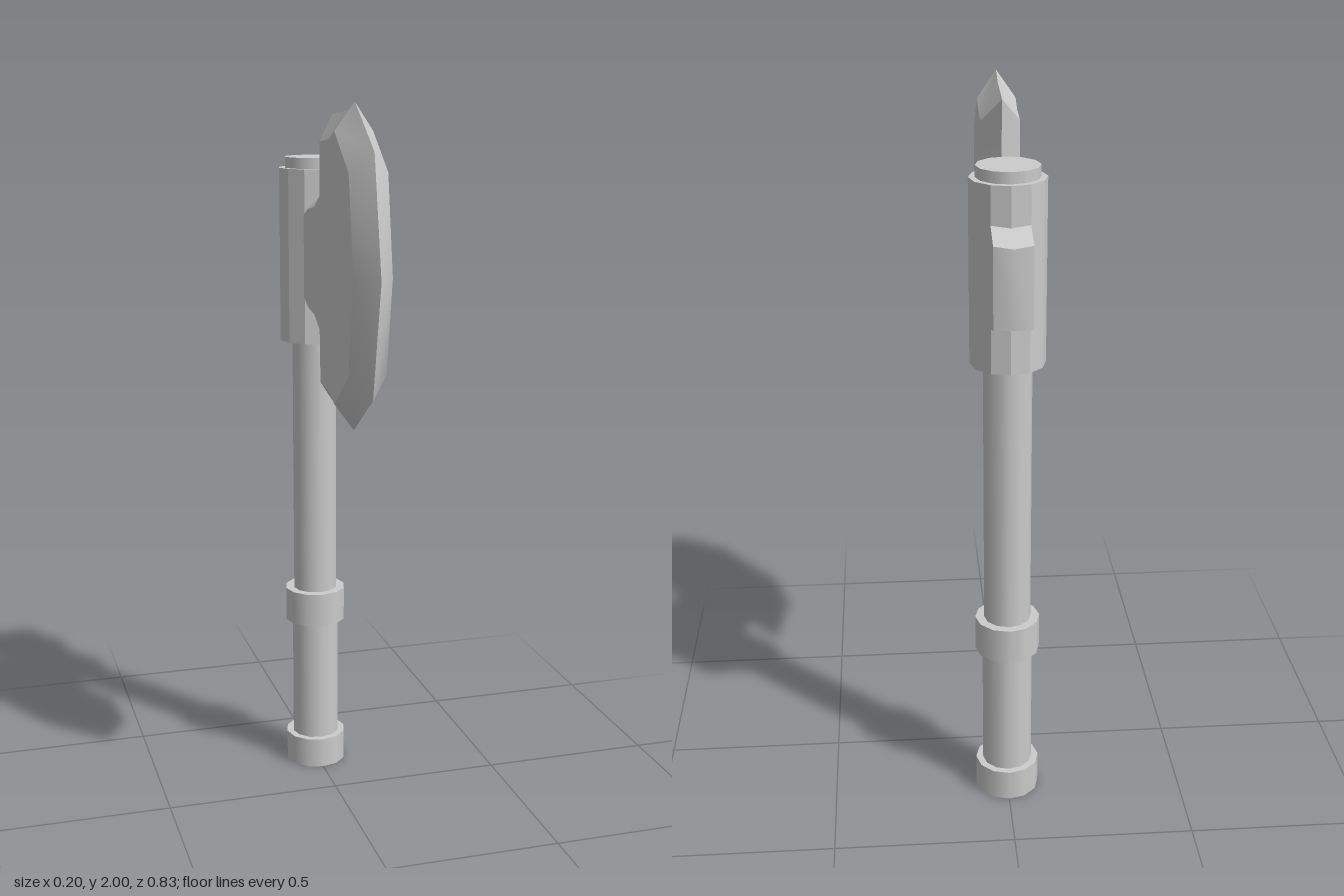
import * as THREE from 'three';
import { toCreasedNormals } from 'three/addons/utils/BufferGeometryUtils.js';

const AXIS_Z = -0.225; // handle axis
const MID_Y = 1.57;    // height of the blade's mirror line
const HALF = 0.052;    // half thickness of the blade

const smooth = new THREE.MeshStandardMaterial({ color: 0xcccccc });
const faceted = new THREE.MeshStandardMaterial({ color: 0xcccccc, flatShading: true });

function addMesh(group, name, geometry, material = smooth) {
  const mesh = new THREE.Mesh(geometry, material);
  mesh.name = name;
  group.add(mesh);
}

function addRod(group, name, radius, y0, y1, material) {
  const geometry = new THREE.CylinderGeometry(radius, radius, y1 - y0, 12);
  geometry.translate(0, (y0 + y1) / 2, AXIS_Z);
  addMesh(group, name, geometry, material);
}

// Closed outline from its upper half, mirrored about MID_Y; first point lies on the mirror line
function mirrored(half) {
  const lower = half.slice(1).reverse().map(([z, y]) => [z, 2 * MID_Y - y]);
  return [...half, ...lower].map(([z, y]) => new THREE.Vector2(z, y));
}

// Flat cheeks on both sides, bevelled out to a sharp rim at x = 0
function bladeGeometry() {
  const rim = mirrored([[0.414, 1.57], [0.35, 1.883], [0.18, 2.0], [0.117, 1.977], [-0.034, 1.962],
    [-0.02, 1.87], [-0.014, 1.78], [-0.055, 1.757], [-0.11, 1.75], [-0.15, 1.70]]);
  const cheek = mirrored([[0.345, 1.57], [0.30, 1.83], [0.17, 1.927], [0.12, 1.905], [0.03, 1.895],
    [0.03, 1.84], [0.025, 1.75], [-0.03, 1.717], [-0.10, 1.705], [-0.15, 1.68]]);
  const n = rim.length;
  const faces = THREE.ShapeUtils.triangulateShape(cheek, []);
  const positions = [];
  for (const side of [-1, 1]) {
    const tri = (...corners) => {
      if (side > 0) corners.reverse();
      for (const [p, x] of corners) positions.push(x, p.y, p.x);
    };
    const x = side * HALF;
    for (const [a, b, c] of faces) tri([cheek[a], x], [cheek[b], x], [cheek[c], x]);
    for (let i = 0; i < n; i++) {
      const j = (i + 1) % n;
      tri([rim[i], 0], [rim[j], 0], [cheek[j], x]);
      tri([rim[i], 0], [cheek[j], x], [cheek[i], x]);
    }
  }
  const geometry = new THREE.BufferGeometry();
  geometry.setAttribute('position', new THREE.Float32BufferAttribute(positions, 3));
  return toCreasedNormals(geometry, 0.6);
}

// Short block with a slightly pointed back, narrowing in height towards its end
function pollGeometry() {
  const plan = new THREE.Shape([[-0.05, 0.29], [0.05, 0.29], [0.05, 0.40], [0, 0.414], [-0.05, 0.40]]
    .map(([x, d]) => new THREE.Vector2(x, d)));
  const geometry = new THREE.ExtrudeGeometry(plan, { depth: 1, bevelEnabled: false });
  geometry.translate(0, 0, -0.5);
  geometry.rotateX(-Math.PI / 2); // plan depth becomes -z, extrusion becomes y
  const p = geometry.attributes.position;
  for (let i = 0; i < p.count; i++) {
    const t = (-p.getZ(i) - 0.315) / 0.099;
    p.setY(i, MID_Y + 0.005 + p.getY(i) * 2 * (0.133 - 0.03 * t));
  }
  return toCreasedNormals(geometry, 0.6);
}

export function createModel() {
  const model = new THREE.Group();
  model.name = 'axe';

  // Handle
  addRod(model, 'pommel', 0.09, 0, 0.09);
  addRod(model, 'grip', 0.07, 0.09, 0.46);
  addRod(model, 'gripRing', 0.09, 0.46, 0.56);
  addRod(model, 'shaft', 0.065, 0.56, 1.32);
  addRod(model, 'shaftCap', 0.083, 1.81, 1.84);

  // Head
  addRod(model, 'collar', 0.1, 1.32, 1.81, faceted);
  addMesh(model, 'blade', bladeGeometry());
  addMesh(model, 'poll', pollGeometry());
  return model;
}
